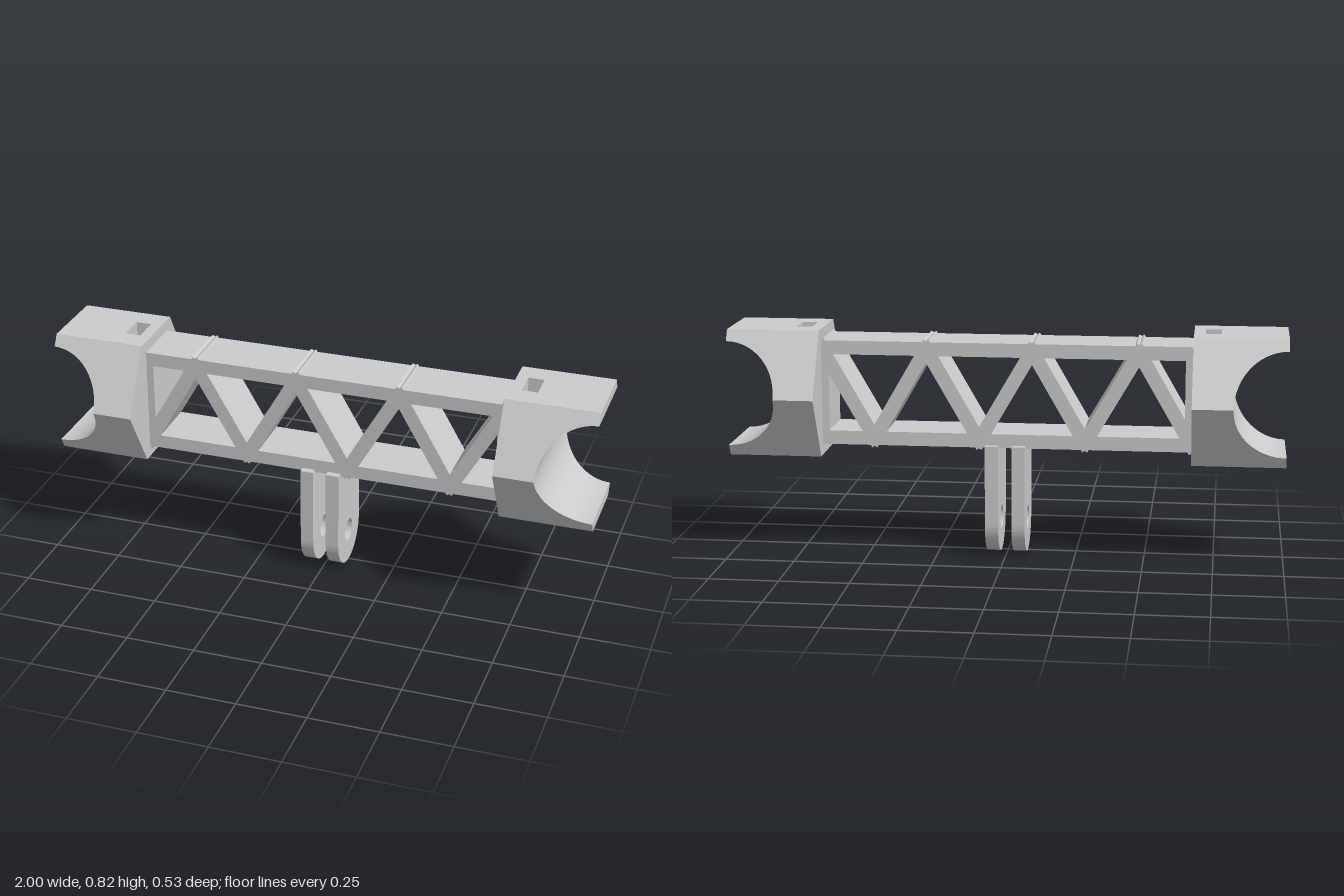
import * as THREE from 'three';
import { mergeGeometries, toCreasedNormals } from 'three/addons/utils/BufferGeometryUtils.js';

const material = new THREE.MeshStandardMaterial({ color: 0xcccccc });
const V = (x, y, z) => new THREE.Vector3(x, y, z);
const MID = 0.593;              // height of the long axis
const INNER = 0.666;            // x where truss meets end blocks
const HEX_R = 0.266, HEX_H = 0.2304, BORE = 0.19;
const ROOT3 = Math.sqrt(3);

function shapeOf(points) {
  return new THREE.Shape(points.map(([x, y]) => new THREE.Vector2(x, y)));
}

function addMesh(parent, geometry, name) {
  const mesh = new THREE.Mesh(toCreasedNormals(geometry, 0.5), material);
  mesh.name = name;
  parent.add(mesh);
  return mesh;
}

// Moves a flat geometry into space by a rule and turns its first face towards `out`
function surface(flat, rule, out) {
  const g = flat.toNonIndexed();
  g.deleteAttribute('uv');
  const p = g.attributes.position;
  let pts = [];
  for (let i = 0; i < p.count; i++) pts.push(rule(p.getX(i), p.getY(i)));
  const n = pts[1].clone().sub(pts[0]).cross(pts[2].clone().sub(pts[0]));
  if (n.dot(out) < 0) pts = pts.reverse();
  g.setFromPoints(pts);
  g.computeVertexNormals();
  return g;
}

// Hexagonal end block with a half-round saddle cut and a vertical slot
function endBlockGeometry() {
  const halfDepth = y => HEX_R - Math.abs(y) / ROOT3;
  const parts = [];
  const unit = (rows = 1) => new THREE.PlaneGeometry(1, 1, 1, rows);
  const topZ = halfDepth(HEX_H);
  const [s0, s1, sz] = [0.707, 0.764, 0.051];

  // Sloped side faces
  const profile = [[INNER, 0]];
  for (let i = 0; i <= 24; i++) {
    const t = (i / 24) * Math.PI / 2;
    profile.push([1 - BORE * Math.cos(t), BORE * Math.sin(t)]);
  }
  profile.push([1, HEX_H], [INNER, HEX_H]);
  const side = new THREE.ShapeGeometry(shapeOf(profile));

  // Top and bottom faces with the slot opening
  const lid = shapeOf([[INNER, -topZ], [1, -topZ], [1, topZ], [INNER, topZ]]);
  lid.holes.push(shapeOf([[s0, -sz], [s0, sz], [s1, sz], [s1, -sz]]));
  const lidFace = new THREE.ShapeGeometry(lid);

  for (const u of [-1, 1]) {
    for (const w of [-1, 1]) {
      parts.push(surface(side, (x, y) => V(x, u * y, w * halfDepth(y)), V(0, u * 0.5, w)));
    }
    parts.push(surface(lidFace, (x, z) => V(x, u * HEX_H, z), V(0, u, 0)));
    // Lip end
    parts.push(surface(unit(), (a, b) => {
      const y = (BORE + HEX_H) / 2 + b * (HEX_H - BORE);
      return V(1, u * y, 2 * a * halfDepth(y));
    }, V(1, 0, 0)));
    // Slot walls
    parts.push(surface(unit(), (a, b) => V(u < 0 ? s0 : s1, 2 * b * HEX_H, 2 * a * sz), V(-u, 0, 0)));
    parts.push(surface(unit(), (a, b) => V((s0 + s1) / 2 + a * (s1 - s0), 2 * b * HEX_H, u * sz), V(0, 0, -u)));
  }

  // Saddle surface
  parts.push(surface(unit(48), (a, b) => {
    const t = b * Math.PI, y = BORE * Math.sin(t);
    return V(1 - BORE * Math.cos(t), y, 2 * a * halfDepth(y));
  }, V(0.1, -1, 0)));

  // Hexagonal inner face
  const hex = shapeOf([[HEX_R, 0], [topZ, HEX_H], [-topZ, HEX_H], [-HEX_R, 0], [-topZ, -HEX_H], [topZ, -HEX_H]]);
  parts.push(surface(new THREE.ShapeGeometry(hex), (z, y) => V(INNER, y, z), V(-1, 0, 0)));
  return mergeGeometries(parts);
}

// Truss beam: 60 degree struts run between the chord centre lines,
// and their square ends stand slightly proud of the chords
function trussGeometry() {
  const H = 0.19, inH = 0.14, step = INNER / 3.5;
  const turn = pts => pts.map(([x, y]) => [-x, -y]);

  const upper = [[-INNER, H]];
  for (let k = 0; k < 3; k++) {
    const a = -INNER + step * (1 + 2 * k);
    upper.push([a - 0.0144, H], [a - 0.0092, H + 0.009], [a, H + 0.0037], [a + 0.0092, H + 0.009], [a + 0.0144, H]);
  }
  upper.push([INNER - 0.0144, H], [INNER - 0.0092, H + 0.009], [INNER, H + 0.0037]);
  const outline = shapeOf([...upper, ...turn(upper)].reverse());

  // Triangular openings, each paired with its half-turn twin
  const half = step - (H - inH) / 2 / ROOT3 - 0.05 / ROOT3;
  const holes = [];
  for (let k = 1; k <= 3; k++) {
    const x = -INNER + 2 * step * k;
    holes.push([[x - half, inH], [x + half, inH], [x, inH - half * ROOT3]]);
  }
  const wall = -0.64, edge = -INNER + half;
  holes.push([[wall, inH], [edge, inH], [wall, inH - (edge - wall) * ROOT3]]);
  for (const h of holes) outline.holes.push(shapeOf(h), shapeOf(turn(h)));

  const g = new THREE.ExtrudeGeometry(outline, { depth: 0.2, bevelEnabled: false });
  return g.translate(0, MID, -0.1);
}

// Round-ended tab with a pin hole
function tabGeometry() {
  const r = 0.125, s = new THREE.Shape();
  s.moveTo(r, 0.412);
  s.lineTo(-r, 0.412);
  s.lineTo(-r, r);
  s.absarc(0, r, r, Math.PI, Math.PI * 2, false);
  s.closePath();
  s.holes.push(new THREE.Path().absarc(0, r, 0.042, 0, Math.PI * 2, true));
  const g = new THREE.ExtrudeGeometry(s, { depth: 0.048, bevelEnabled: false, curveSegments: 32 });
  return g.translate(0, 0, -0.024).rotateY(Math.PI / 2);
}

export function createModel() {
  const model = new THREE.Group();
  model.name = 'trussBracket';

  addMesh(model, trussGeometry(), 'trussBeam');

  const block = endBlockGeometry(), tab = tabGeometry();
  for (const [name, s] of [['left', 1], ['right', -1]]) {
    const end = addMesh(model, block, name + 'EndBlock');
    end.position.y = MID;
    if (s < 0) end.rotation.y = Math.PI;
    addMesh(model, tab, name + 'MountTab').position.x = s * 0.048;
  }
  return model;
}
